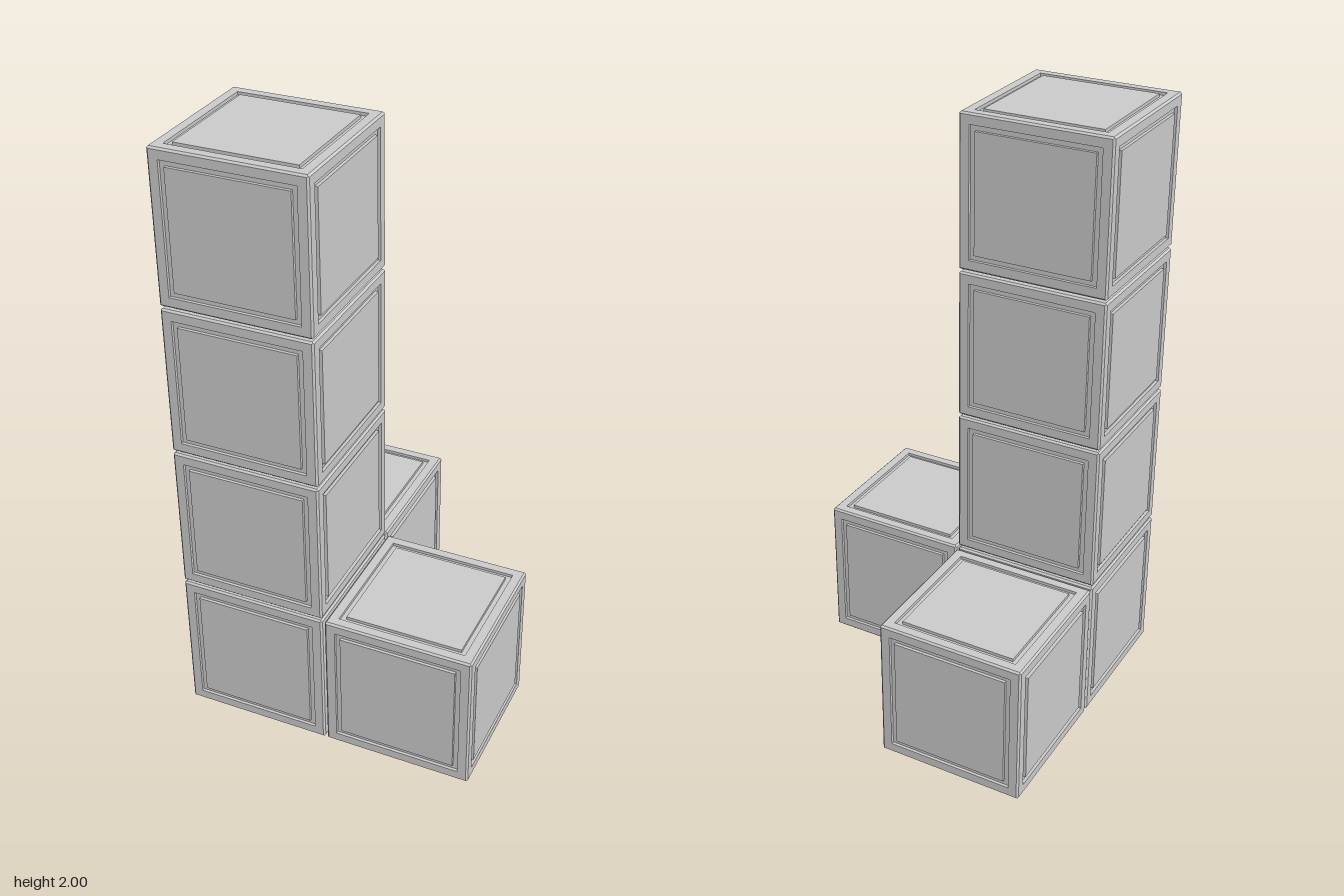
import * as THREE from 'three';
import { mergeGeometries } from 'three/addons/utils/BufferGeometryUtils.js';

const SIZE = 0.494, PITCH = 0.502;

// One cube side: a four-sided lathe running from the edge chamfer, across the
// frame, through the square groove and over the centre panel.
function cubeSide() {
  const h = SIZE / 2, chamfer = 0.006, depth = 0.01;
  const outer = h - 0.035, inner = h - 0.053;
  const profile = [
    [h - chamfer / 2, h - chamfer / 2],
    [h - chamfer, h],
    [outer, h],
    [outer, h - depth],
    [inner, h - depth],
    [inner, h],
    [0, h],
  ].map(([half, y]) => new THREE.Vector2(half * Math.SQRT2, y));
  const side = new THREE.LatheGeometry(profile, 4, Math.PI / 4).toNonIndexed();
  side.computeVertexNormals();
  return side;
}

// Six sides turned to face every direction
function cubeGeometry() {
  const side = cubeSide();
  const sides = [0, 1, 2, 3].map((i) => side.clone().rotateX(i * Math.PI / 2));
  sides.push(side.clone().rotateZ(Math.PI / 2), side.clone().rotateZ(-Math.PI / 2));
  return mergeGeometries(sides);
}

export function createModel() {
  const model = new THREE.Group();
  model.name = 'cubeStack';
  const geometry = cubeGeometry();
  const material = new THREE.MeshStandardMaterial({ color: 0xcccccc, flatShading: true });

  const addCube = (name, sx, level, sz) => {
    const cube = new THREE.Mesh(geometry, material);
    cube.name = name;
    cube.position.set(sx * PITCH / 2, SIZE / 2 + level * PITCH, sz * PITCH / 2);
    model.add(cube);
  };

  // Tower of four, with one foot to the side and one behind
  for (let level = 0; level < 4; level++) addCube(`towerCube${level + 1}`, -1, level, 1);
  addCube('sideCube', 1, 0, 1);
  addCube('backCube', -1, 0, -1);

  return model;
}
